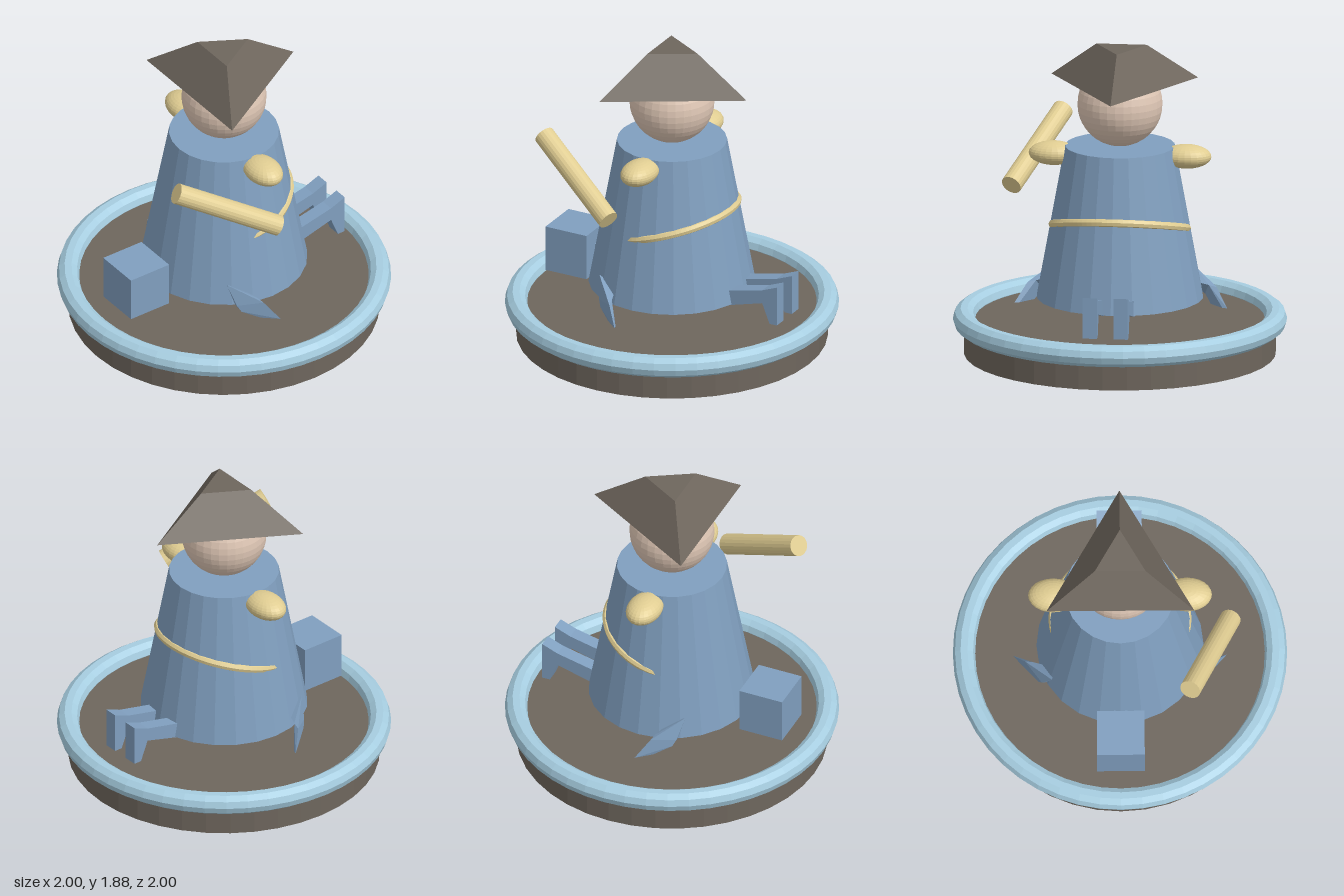
import * as THREE from 'three';
import { ConvexGeometry } from 'three/addons/geometries/ConvexGeometry.js';

function paint(name, color) {
  const m = new THREE.MeshStandardMaterial({ color, flatShading: true });
  m.name = name;
  return m;
}

export function createModel() {
  const group = new THREE.Group();
  const darkBrown = paint('darkBrown', 0x6e665d);
  const paleBlue = paint('paleBlue', 0xa6cde0);
  const coatBlue = paint('coatBlue', 0x809fbf);
  const skin = paint('skin', 0xe0c8b6);
  const straw = paint('straw', 0xe0cd92);

  function add(name, geometry, material, x = 0, y = 0, z = 0) {
    const mesh = new THREE.Mesh(geometry, material);
    mesh.name = name;
    mesh.position.set(x, y, z);
    group.add(mesh);
    return mesh;
  }

  // Round stand with a raised rim
  add('base', new THREE.CylinderGeometry(0.933, 0.933, 0.21, 40), darkBrown, 0, 0.105, 0);
  add('rim', new THREE.TorusGeometry(0.933, 0.067, 10, 48).rotateX(Math.PI / 2), paleBlue, 0, 0.213, 0);

  // Tapered coat
  const bottom = 0.35, top = 1.28, rBottom = 0.5, rTop = 0.33;
  add('coat', new THREE.CylinderGeometry(rTop, rBottom, top - bottom, 24), coatBlue, 0, (top + bottom) / 2, 0);

  // Head and three-cornered hat
  add('head', new THREE.SphereGeometry(0.255, 32, 20), skin, 0, 1.535, 0);
  add('hat', new THREE.CylinderGeometry(0.175, 0.51, 0.235, 3).rotateY(Math.PI), darkBrown, 0, 1.763, 0);

  // Strap slung round the back, sinking into the coat at both ends
  const strapPoints = [];
  for (let i = 0; i <= 24; i++) {
    const a = (i / 12 - 1) * 1.82;
    const y = 0.78 + 0.28 * 0.41 * Math.cos(a);
    const coatRadius = rBottom + (rTop - rBottom) * (y - bottom) / (top - bottom);
    const r = coatRadius - 0.013 - 0.02 * Math.pow(Math.abs(a) / 1.82, 6);
    strapPoints.push(new THREE.Vector3(Math.sin(a) * r, y, -Math.cos(a) * r));
  }
  add('strap', new THREE.TubeGeometry(new THREE.CatmullRomCurve3(strapPoints), 48, 0.027, 8), straw);

  // Club held out on the left
  const clubTop = new THREE.Vector3(0.415, 1.33, 0.645);
  const clubEnd = new THREE.Vector3(0.662, 0.997, 0.07);
  const axis = clubTop.clone().sub(clubEnd);
  const club = add('club', new THREE.CylinderGeometry(0.063, 0.063, axis.length(), 20), straw);
  club.position.copy(clubTop).add(clubEnd).multiplyScalar(0.5);
  club.quaternion.setFromUnitVectors(new THREE.Vector3(0, 1, 0), axis.normalize());

  // Block in front, joined to the coat
  add('frontBlock', new THREE.BoxGeometry(0.285, 0.285, 0.28), coatBlue, 0, 0.44, 0.645);
  add('blockJoint', new THREE.BoxGeometry(0.08, 0.08, 0.1), coatBlue, 0, 0.45, 0.48);

  // Side profile of a hind leg, as [z, y]
  const hindProfile = new THREE.Shape([
    [-0.1, 0.33], [-0.4, 0.325], [-0.5, 0.352], [-0.69, 0.405], [-0.74, 0.28],
    [-0.79, 0.28], [-0.79, 0.53], [-0.69, 0.49], [-0.47, 0.44], [-0.1, 0.4],
  ].map(([z, y]) => new THREE.Vector2(z, y)));

  // Cross-sections of a side leg: hip, knee and foot
  const hip = [[0.41, 0.49, 0.27], [0.38, 0.42, 0.17], [0.45, 0.36, 0.24]];
  const knee = [[0.57, 0.39, 0.115], [0.52, 0.4, 0.125], [0.49, 0.32, 0.22], [0.47, 0.36, 0.24]];
  const foot = [[0.64, 0.28, 0.04], [0.61, 0.28, 0.05], [0.53, 0.28, 0.14], [0.56, 0.28, 0.13]];

  for (const side of [1, -1]) {
    const label = side > 0 ? 'left' : 'right';
    const hull = (points) => new ConvexGeometry(points.map(([x, y, z]) => new THREE.Vector3(x * side, y, z)));

    // Mitten-like hand
    add(label + 'Hand', new THREE.SphereGeometry(1, 24, 16).scale(0.15, 0.072, 0.105), straw, side * 0.4, 1.222, 0);

    add(label + 'SideThigh', hull([...hip, ...knee]), coatBlue);
    add(label + 'SideFoot', hull([...knee, ...foot]), coatBlue);

    const hind = new THREE.ExtrudeGeometry(hindProfile, { depth: 0.085, bevelEnabled: false });
    hind.rotateY(-Math.PI / 2).translate(0.0425, 0, 0);
    add(label + 'HindLeg', hind, coatBlue, side * 0.093, 0, 0);
  }

  return group;
}
